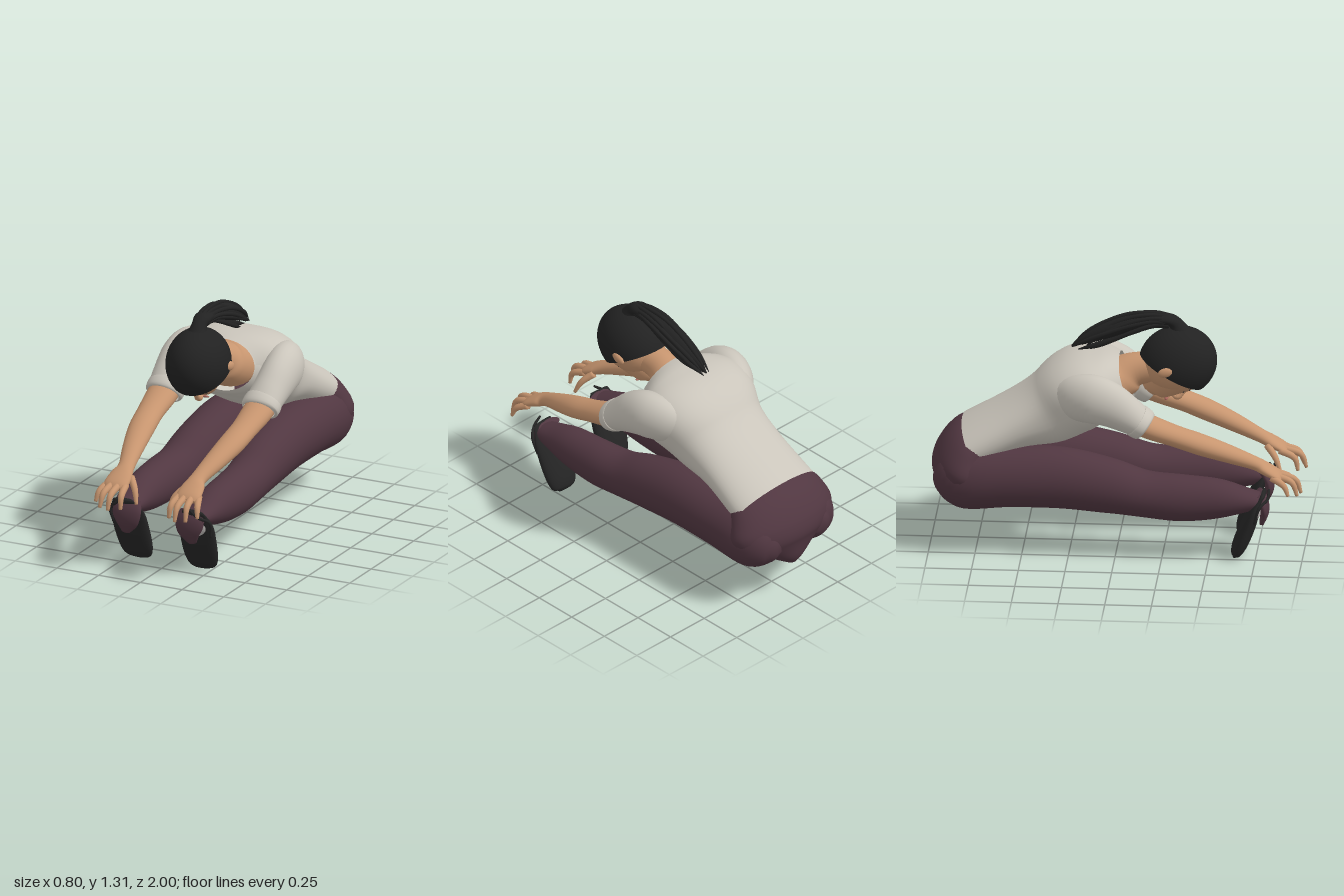
import * as THREE from 'three';

const mat = (name, color, side = THREE.FrontSide) => {
  const m = new THREE.MeshStandardMaterial({ color, side });
  m.name = name;
  return m;
};

// Smooth tube through sections [x, y, z, halfWidth, halfThickness, roundness = 1]; s mirrors it in x
function loft(name, material, keys, { s = 1, rings = 6, sides = 28, open = false } = {}) {
  const path = new THREE.CatmullRomCurve3(keys.map(k => new THREE.Vector3(k[0] * s, k[1], k[2])), false, 'catmullrom');
  const size = new THREE.CatmullRomCurve3(keys.map(k => new THREE.Vector3(k[3], k[4], k[5] ?? 1)), false, 'catmullrom');
  const n = (keys.length - 1) * rings, pos = [], index = [];
  const bend = (v, e) => Math.sign(v) * Math.abs(v) ** e;
  for (let i = 0; i <= n; i++) {
    const c = path.getPoint(i / n), r = size.getPoint(i / n), t = path.getTangent(i / n);
    const side = new THREE.Vector3(1, 0, 0).addScaledVector(t, -t.x).normalize();
    const up = t.clone().cross(side);
    for (let j = 0; j < sides; j++) {
      const q = j / sides * Math.PI * 2;
      const p = c.clone().addScaledVector(side, Math.max(r.x, 0.002) * bend(Math.cos(q), r.z))
        .addScaledVector(up, Math.max(r.y, 0.002) * bend(Math.sin(q), r.z));
      pos.push(p.x, p.y, p.z);
      if (i < n) {
        const a = i * sides + j, b = i * sides + (j + 1) % sides;
        index.push(a, b, a + sides, b, b + sides, a + sides);
      }
    }
  }
  if (!open) {
    const first = path.getPoint(0), last = path.getPoint(1), k = (n + 1) * sides;
    pos.push(first.x, first.y, first.z, last.x, last.y, last.z);
    for (let j = 0; j < sides; j++) {
      const j2 = (j + 1) % sides;
      index.push(k, j2, j, k + 1, n * sides + j, n * sides + j2);
    }
  }
  const g = new THREE.BufferGeometry();
  g.setAttribute('position', new THREE.Float32BufferAttribute(pos, 3));
  g.setIndex(index);
  g.computeVertexNormals();
  const mesh = new THREE.Mesh(g, material);
  mesh.name = name;
  return mesh;
}

function ball(name, material, [x, y, z], [rx, ry, rz]) {
  const mesh = new THREE.Mesh(new THREE.SphereGeometry(1, 28, 18).scale(rx, ry, rz), material);
  mesh.position.set(x, y, z);
  mesh.name = name;
  return mesh;
}

export function createModel() {
  const skin = mat('skin', 0xc7956f);
  const shirt = mat('shirt cloth', 0xcac5bb, THREE.DoubleSide);
  const pants = mat('trouser cloth', 0x513741);
  const hair = mat('hair', 0x222222, THREE.DoubleSide);
  const shoe = mat('shoe', 0x252525);
  const lip = mat('lips', 0xa5655a);
  const sock = mat('sock', 0xb9b5b2);
  const model = new THREE.Group();
  model.name = 'stretchingFigure';

  // Shirt body, bent forward from waist to neckline
  model.add(loft('shirtBody', shirt, [
    [0, 0.56, -0.775, 0.285, 0.135], [0, 0.685, -0.535, 0.268, 0.145, 0.92], [0, 0.765, -0.355, 0.278, 0.19, 0.85],
    [0, 0.86, -0.215, 0.325, 0.207, 0.78], [0, 0.905, -0.085, 0.315, 0.18, 0.8], [0, 0.925, 0.03, 0.2, 0.14],
  ], { open: true, sides: 48 }));
  model.add(loft('collar', shirt, [
    [0, 0.912, -0.01, 0.24, 0.157, 0.95], [0, 0.92, 0.015, 0.222, 0.153], [0, 0.928, 0.04, 0.192, 0.138],
  ], { open: true, sides: 48, rings: 3 }));

  // Neck and upper chest
  model.add(loft('neck', skin, [
    [0, 0.92, -0.03, 0.18, 0.13], [0, 0.945, 0.03, 0.13, 0.115], [0, 0.98, 0.1, 0.088, 0.09], [0, 1.0, 0.26, 0.09, 0.085],
  ]));

  // Hips, narrowing to the crotch
  model.add(loft('hips', pants, [
    [0, 0.595, -0.70, 0.255, 0.11], [0, 0.535, -0.775, 0.31, 0.16], [0, 0.44, -0.818, 0.342, 0.18],
    [0, 0.35, -0.843, 0.28, 0.153], [0, 0.27, -0.87, 0.13, 0.1], [0, 0.207, -0.88, 0.03, 0.05],
  ], { sides: 40 }));

  for (const s of [1, -1]) {
    const side = new THREE.Group();
    side.name = s > 0 ? 'leftLimbs' : 'rightLimbs';
    model.add(side);
    const o = { s };

    // Leg from buttock to ankle, with the hem falling over the instep
    side.add(loft('trouserLeg', pants, [
      [0.13, 0.385, -0.965, 0.02, 0.03], [0.145, 0.39, -0.93, 0.095, 0.1], [0.178, 0.405, -0.82, 0.157, 0.172],
      [0.185, 0.42, -0.58, 0.162, 0.17], [0.19, 0.42, -0.3, 0.155, 0.168],
      [0.2, 0.387, -0.05, 0.14, 0.152], [0.21, 0.348, 0.15, 0.125, 0.128], [0.22, 0.333, 0.35, 0.115, 0.128],
      [0.218, 0.333, 0.55, 0.103, 0.108], [0.21, 0.327, 0.7, 0.085, 0.065], [0.2, 0.325, 0.79, 0.07, 0.035],
    ], o));
    side.add(loft('trouserHem', pants, [
      [0.19, 0.36, 0.76, 0.07, 0.028], [0.188, 0.31, 0.79, 0.084, 0.026],
      [0.188, 0.25, 0.795, 0.07, 0.024], [0.2, 0.185, 0.78, 0.025, 0.012],
    ], o));
    side.add(loft('sock', sock, [
      [0.205, 0.28, 0.768, 0.068, 0.01], [0.212, 0.25, 0.762, 0.06, 0.014], [0.218, 0.22, 0.75, 0.025, 0.01],
    ], o));

    // Shoe, toe pointing down
    side.add(loft('shoe', shoe, [
      [0.21, 0.37, 0.795, 0.06, 0.012], [0.205, 0.29, 0.75, 0.1, 0.03], [0.2, 0.18, 0.708, 0.105, 0.042],
      [0.195, 0.08, 0.668, 0.098, 0.042], [0.19, 0.025, 0.645, 0.08, 0.03], [0.19, 0.003, 0.635, 0.045, 0.012],
    ], o));
    side.add(loft('shoeTie', shoe, [
      [0.29, 0.22, 0.745, 0.008, 0.008], [0.3, 0.31, 0.775, 0.008, 0.008], [0.25, 0.345, 0.815, 0.008, 0.008],
      [0.2, 0.385, 0.82, 0.006, 0.006],
    ], { s, sides: 8 }));

    // Sleeve, sloping off the shoulder, and turned cuff
    side.add(loft('sleeve', shirt, [
      [0.2, 0.85, -0.32, 0.05, 0.08], [0.242, 0.885, -0.23, 0.095, 0.125], [0.285, 0.905, -0.13, 0.105, 0.135],
      [0.3, 0.885, -0.04, 0.1, 0.125], [0.296, 0.83, 0.06, 0.098, 0.102], [0.288, 0.77, 0.15, 0.1, 0.078],
    ], { s, open: true }));
    side.add(loft('cuff', shirt, [
      [0.289, 0.795, 0.112, 0.098, 0.085], [0.288, 0.788, 0.122, 0.107, 0.09],
      [0.287, 0.764, 0.16, 0.107, 0.084], [0.287, 0.757, 0.17, 0.09, 0.068],
    ], { s, open: true, rings: 3 }));

    // Arm and palm
    side.add(loft('arm', skin, [
      [0.29, 0.80, 0.08, 0.085, 0.065], [0.288, 0.75, 0.2, 0.085, 0.062], [0.283, 0.703, 0.33, 0.074, 0.056],
      [0.27, 0.655, 0.46, 0.072, 0.056], [0.245, 0.6, 0.6, 0.06, 0.048], [0.216, 0.54, 0.74, 0.046, 0.036],
      [0.215, 0.51, 0.8, 0.064, 0.032], [0.217, 0.478, 0.86, 0.07, 0.025], [0.218, 0.458, 0.89, 0.055, 0.014],
    ], o));

    // Fingers: base, knuckle and tip
    const fingers = {
      thumb: [[0.165, 0.5, 0.785], [0.12, 0.45, 0.83], [0.095, 0.38, 0.86]],
      indexFinger: [[0.165, 0.475, 0.85], [0.15, 0.44, 0.93], [0.145, 0.37, 0.95]],
      middleFinger: [[0.2, 0.475, 0.86], [0.2, 0.445, 0.96], [0.2, 0.37, 0.992]],
      ringFinger: [[0.237, 0.475, 0.86], [0.25, 0.445, 0.945], [0.257, 0.372, 0.975]],
      littleFinger: [[0.268, 0.475, 0.84], [0.293, 0.44, 0.905], [0.305, 0.385, 0.93]],
    };
    for (const [name, pts] of Object.entries(fingers)) {
      const r = [0.02, 0.017, 0.009];
      side.add(loft(name, skin, pts.map((p, i) => [...p, r[i], r[i]]), { s, sides: 12 }));
    }
  }

  // Head, built upright and then bowed
  const head = new THREE.Group();
  head.name = 'head';
  head.position.set(0, 1.035, 0.315);
  head.rotation.x = 1.25;
  model.add(head);
  head.add(ball('skull', skin, [0, 0, 0], [0.155, 0.19, 0.168]));
  head.add(loft('face', skin, [
    [0, -0.195, 0.13, 0.022, 0.03], [0, -0.175, 0.115, 0.052, 0.07], [0, -0.12, 0.09, 0.085, 0.1],
    [0, -0.05, 0.065, 0.115, 0.12], [0, 0.02, 0.05, 0.132, 0.125], [0, 0.11, 0.02, 0.12, 0.11],
  ]));
  head.add(loft('nose', skin, [
    [0, 0.0, 0.165, 0.012, 0.012], [0, -0.035, 0.185, 0.015, 0.014],
    [0, -0.065, 0.197, 0.022, 0.018], [0, -0.085, 0.18, 0.016, 0.01],
  ], { sides: 14 }));
  head.add(ball('mouth', lip, [0, -0.123, 0.187], [0.034, 0.011, 0.007]));
  for (const s of [1, -1]) {
    head.add(ball('ear', skin, [s * 0.16, -0.055, 0.0], [0.016, 0.042, 0.026]));
    head.add(ball('eye', hair, [s * 0.052, -0.015, 0.163], [0.022, 0.006, 0.004]));
    head.add(ball('eyebrow', hair, [s * 0.054, 0.022, 0.16], [0.028, 0.004, 0.004]));
  }
  const cap = new THREE.SphereGeometry(1, 40, 24, 0, Math.PI * 2, 0, Math.PI / 2 + 0.3);
  cap.rotateX(-0.7).scale(0.168, 0.212, 0.195).translate(0, 0, 0.008);
  const hairCap = new THREE.Mesh(cap, hair);
  hairCap.name = 'hairCap';
  head.add(hairCap);

  // Ponytail: knot, core and loose strands
  model.add(loft('hairKnot', hair, [
    [0, 1.19, 0.33, 0.06, 0.06], [0, 1.235, 0.31, 0.042, 0.04], [0, 1.262, 0.275, 0.048, 0.032], [0, 1.268, 0.21, 0.048, 0.03],
  ]));
  const tail = [
    [0, 1.255, 0.27, 0.032, 0.03], [0, 1.262, 0.18, 0.042, 0.033], [0, 1.238, 0.06, 0.05, 0.046],
    [0, 1.195, -0.06, 0.045, 0.045], [0, 1.145, -0.17, 0.026, 0.03], [0, 1.1, -0.25, 0.004, 0.004],
  ];
  model.add(loft('ponytail', hair, tail));
  for (let i = 0; i < 12; i++) {
    const q = i / 12 * Math.PI * 2, len = 0.9 + 0.1 * Math.sin(i * 2.4);
    model.add(loft('hairStrand', hair, tail.map(([, y, z, a, b], k) => [
      Math.cos(q) * (a + 0.003 * k), y + Math.sin(q) * (b + 0.003 * k), 0.27 + (z - 0.27) * len,
      k === 5 ? 0.002 : 0.012, k === 5 ? 0.002 : 0.012,
    ]), { sides: 6, rings: 4 }));
  }
  return model;
}
